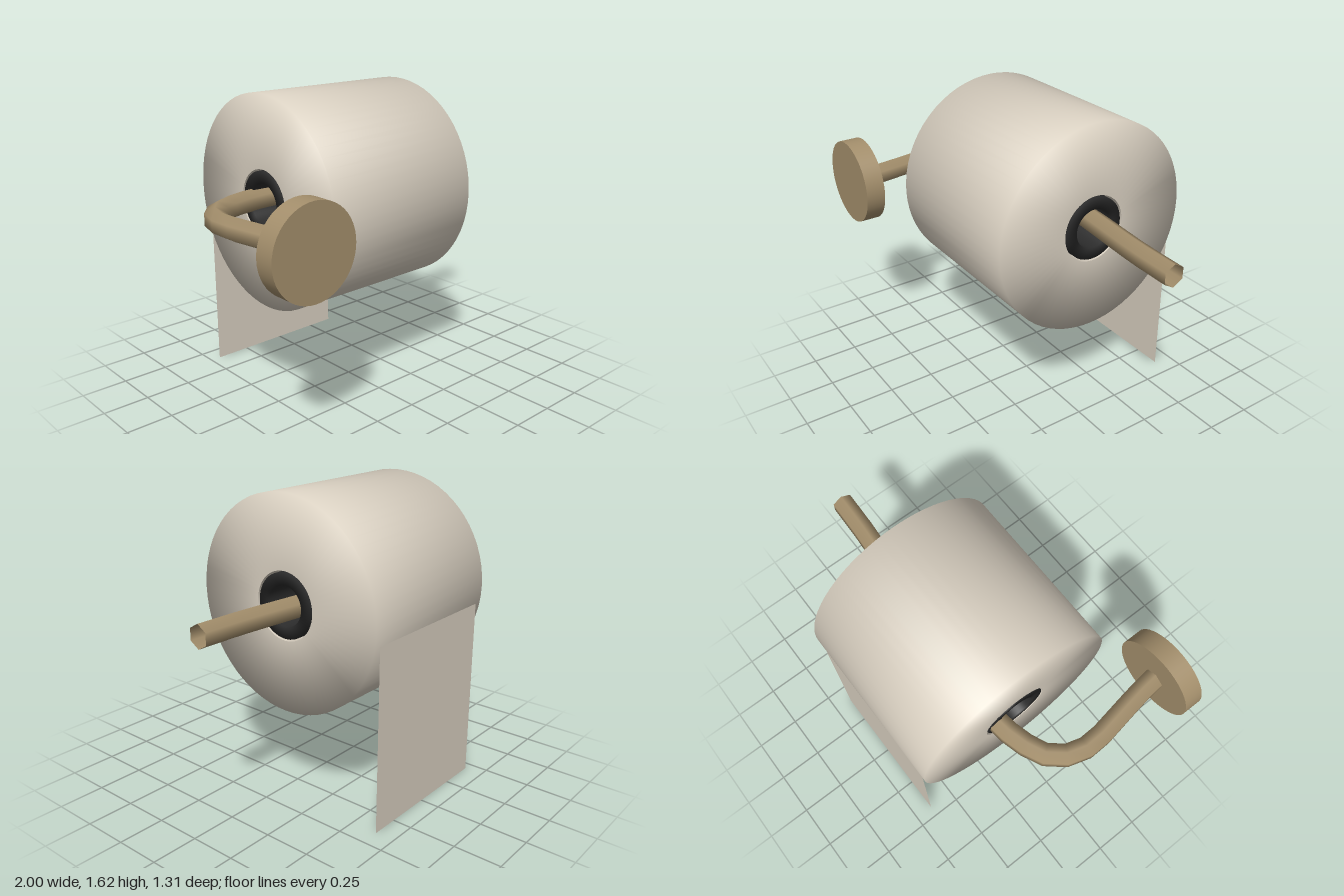
import * as THREE from 'three';

const AXLE_Y = 1.065;
const ROLL_X = -0.022;
const ROLL_Z = -0.1;
const ROLL_HALF = 0.462;

function material(name, color, side = THREE.FrontSide) {
  const m = new THREE.MeshStandardMaterial({ color, side });
  m.name = name;
  return m;
}

export function createModel() {
  const group = new THREE.Group();
  const paper = material('paper', 0xd9d0c1, THREE.DoubleSide);
  const brass = material('brass', 0xa48f6c, THREE.DoubleSide);
  const cardboard = material('darkCore', 0x2b2b2b);

  function add(name, geometry, mat, x = 0, y = 0, z = 0) {
    const mesh = new THREE.Mesh(geometry, mat);
    mesh.name = name;
    mesh.position.set(x, y, z);
    group.add(mesh);
    return mesh;
  }

  // Lathe a [radius, offset] profile around the sideways axle
  function addTurned(name, profile, mat) {
    const points = profile.map(([r, h]) => new THREE.Vector2(r, h));
    const geometry = new THREE.LatheGeometry(points, 64).rotateZ(-Math.PI / 2);
    return add(name, geometry, mat, ROLL_X, AXLE_Y, ROLL_Z);
  }

  // Paper roll, with soft shading over its ends, and the wall of its bore
  const h = ROLL_HALF;
  addTurned('paperRoll', [[0.177, -h], [0.555, -h], [0.555, h], [0.177, h]], paper);
  addTurned('rollBore', [[0.177, h], [0.177, -h]], paper);

  // Hollow core tube
  const c = h - 0.002;
  addTurned('coreTube', [[0.105, 0], [0.105, -c], [0.168, -c], [0.168, c], [0.105, c], [0.105, 0]], cardboard);

  // Hanging sheet behind the roll
  add('hangingSheet', new THREE.PlaneGeometry(0.845, 1.03), paper, ROLL_X, 0.515, -0.647);

  // Bent six-sided arm from the wall plate through the roll, open at its tip
  const path = [
    [-0.775, 0.57], [-0.787, 0.45], [-0.82, 0.24], [-0.838, 0.1], [-0.82, -0.015],
    [-0.74, -0.12], [-0.62, -0.172], [-0.485, -0.2], [-0.25, -0.205], [0, -0.185],
    [0.44, -0.145], [0.75, -0.115], [1, -0.105],
  ].map(([x, z]) => new THREE.Vector3(x, AXLE_Y, z));
  add('holderArm', new THREE.TubeGeometry(new THREE.CatmullRomCurve3(path), 24, 0.06, 6), brass);

  // Round mounting plate
  const plate = new THREE.CylinderGeometry(0.228, 0.228, 0.104, 48).rotateX(Math.PI / 2);
  add('mountingPlate', plate, brass, -0.772, AXLE_Y, 0.605);

  return group;
}
